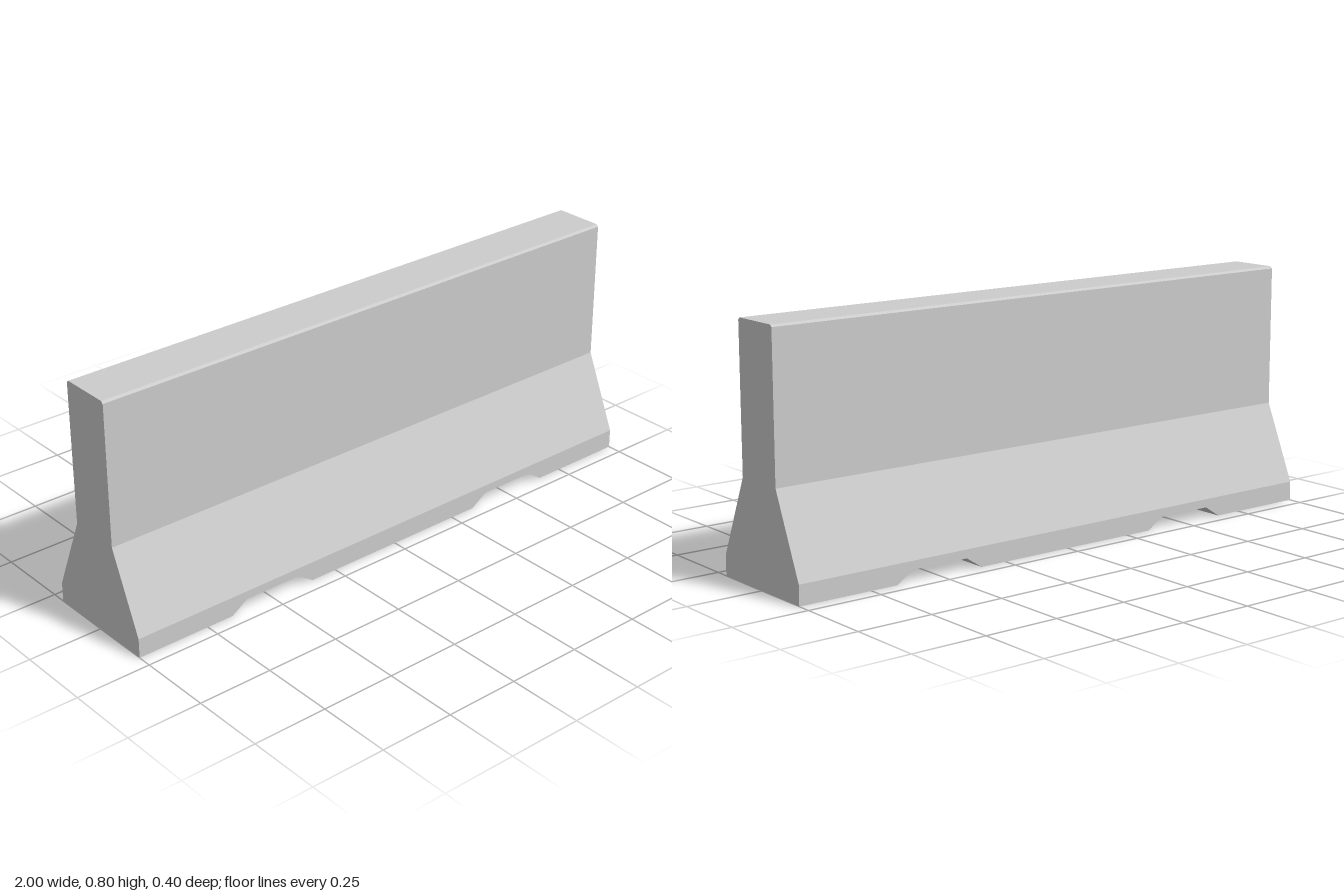
import * as THREE from 'three';

// Half of the end profile, bottom to top: [half depth, height]
const HALF = [[0.202, 0], [0.202, 0.065], [0.09, 0.325], [0.09, 0.793], [0.083, 0.8]];

// Underside height along the length, with two bevelled slots
const NOTCH = 0.037;
const STATIONS = [
  [-1, 0], [-0.657, 0], [-0.6, NOTCH], [-0.4, NOTCH], [-0.343, 0],
  [0.343, 0], [0.4, NOTCH], [0.6, NOTCH], [0.657, 0], [1, 0],
];

// Closed cross-section at x: up the back (-z), then down the front (+z)
function section([x, bottom]) {
  const side = (s) => HALF.map(([z, y], j) => new THREE.Vector3(x, j === 0 ? bottom : y, s * z));
  return [...side(-1), ...side(1).reverse()];
}

function barrierGeometry() {
  const positions = [];
  const quad = (a, b, c, d) => {
    for (const p of [a, b, c, a, c, d]) positions.push(p.x, p.y, p.z);
  };
  const rings = STATIONS.map(section);
  const n = rings[0].length;

  // Skin between neighbouring sections
  for (let i = 0; i < rings.length - 1; i++) {
    const a = rings[i], b = rings[i + 1];
    for (let k = 0; k < n; k++) {
      const m = (k + 1) % n;
      quad(a[k], a[m], b[m], b[k]);
    }
  }

  // Flat ends, filled level by level
  const first = rings[0], last = rings[rings.length - 1];
  for (let j = 0; j < HALF.length - 1; j++) {
    const l = n - 1 - j;
    quad(last[l], last[j], last[j + 1], last[l - 1]);
    quad(first[j], first[l], first[l - 1], first[j + 1]);
  }

  const geometry = new THREE.BufferGeometry();
  geometry.setAttribute('position', new THREE.Float32BufferAttribute(positions, 3));
  geometry.computeVertexNormals();
  return geometry;
}

export function createModel() {
  const group = new THREE.Group();
  group.name = 'roadBarrier';
  const concrete = new THREE.MeshStandardMaterial({ color: 0xcccccc, flatShading: true });
  const body = new THREE.Mesh(barrierGeometry(), concrete);
  body.name = 'barrierBody';
  group.add(body);
  return group;
}
